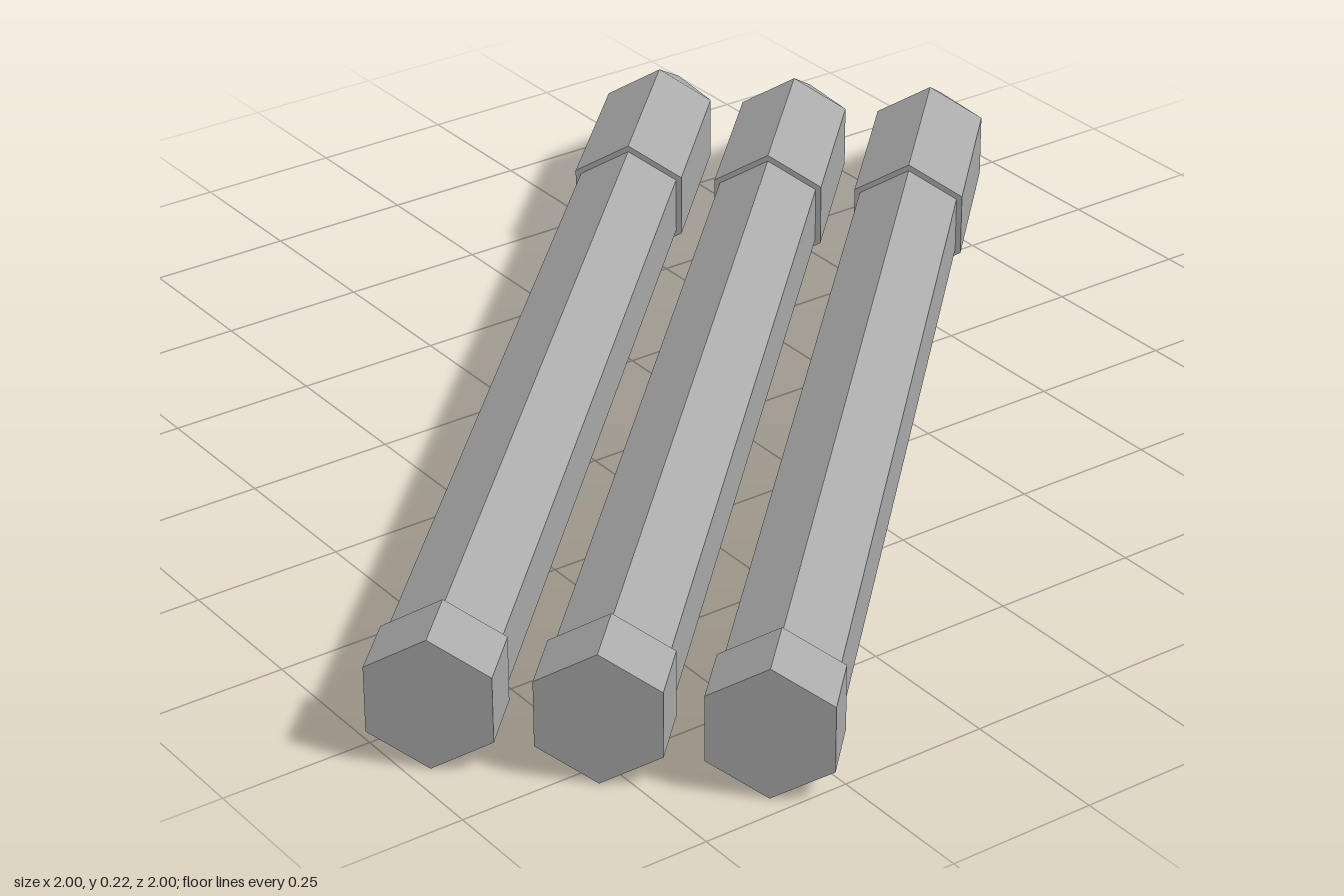
import * as THREE from 'three';

const SIDES = 6;
const CENTRE_Y = 0.11;
const SPACING = 0.25;
const HALF_LENGTH = 1.115;

export function createModel() {
  const grey = new THREE.MeshStandardMaterial({ color: 0xaaaaaa });
  grey.name = 'grey';

  // Hexagonal prism or point lying along +x from start to end, one ridge upward
  function hexPart(name, start, end, r0, r1) {
    const geo = new THREE.CylinderGeometry(r1, r0, end - start, SIDES)
      .rotateY(Math.PI / 2)
      .rotateZ(-Math.PI / 2)
      .translate((start + end) / 2 - HALF_LENGTH, 0, 0)
      .toNonIndexed();
    geo.computeVertexNormals(); // faceted sides
    const mesh = new THREE.Mesh(geo, grey);
    mesh.name = name;
    return mesh;
  }

  const model = new THREE.Group();
  model.name = 'stakes';

  // Three parallel stakes laid side by side
  for (let i = -1; i <= 1; i++) {
    const stake = new THREE.Group();
    stake.name = 'stake' + (i + 2);
    stake.add(
      hexPart('endCap', 0, 0.115, 0.11, 0.11),
      hexPart('shaft', 0.115, 1.68, 0.099, 0.099),
      hexPart('head', 1.68, 2.013, 0.11, 0.11),
      hexPart('point', 2.013, 2 * HALF_LENGTH, 0.11, 0)
    );
    stake.position.set(0, CENTRE_Y, i * SPACING);
    model.add(stake);
  }

  // Stakes run diagonally, points to the back left
  model.rotation.y = Math.PI / 4;
  const root = new THREE.Group();
  root.name = 'stakeBundle';
  root.add(model);
  return root;
}
